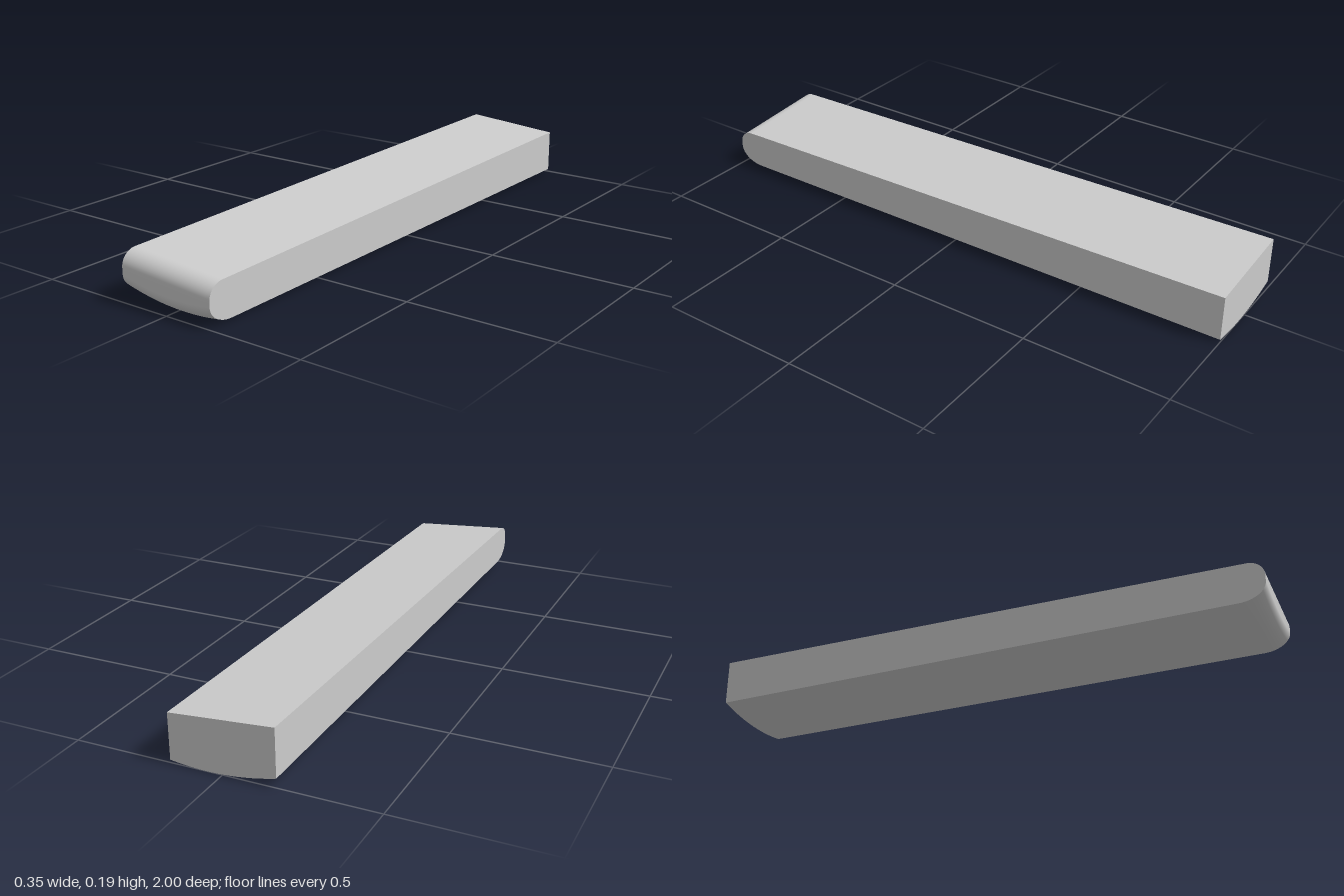
import * as THREE from 'three';

const HALF = 0.174, ARC = 12;
const material = new THREE.MeshStandardMaterial({ color: 0xcccccc });

// Sloping flat top and bowed underside
const topY = (x, z) => 0.1765 - 0.077 * x - 0.0137 * (z + 1);
const bottomY = (x) => 0.6 * (x - 0.05) ** 2;

// Lengthwise outline at a given x: back top, round the nose, back bottom
function profile(x) {
  const pts = [[-1, topY(x, -1)]];
  for (let i = 0; i <= ARC; i++) {
    const t = (i / ARC) * Math.PI / 2, z = 0.945 + 0.055 * Math.sin(t);
    pts.push([z, topY(x, z) - 0.05 * (1 - Math.cos(t))]);
  }
  for (let i = 0; i <= ARC; i++) {
    const t = (i / ARC) * Math.PI / 2;
    pts.push([0.91 + 0.09 * Math.cos(t), bottomY(x) + 0.06 * (1 - Math.sin(t))]);
  }
  pts.push([-1, bottomY(x)]);
  return pts;
}

// Smooth skin over rows of [z, y] points spread across x
function skin(rowAt, steps) {
  const pos = [], index = [];
  let n = 0;
  for (let i = 0; i <= steps; i++) {
    const x = -HALF + (2 * HALF * i) / steps, row = rowAt(x);
    n = row.length;
    row.forEach(([z, y]) => pos.push(x, y, z));
  }
  for (let i = 0; i < steps; i++) {
    for (let j = 0; j < n - 1; j++) {
      const a = i * n + j, c = a + n;
      index.push(a, a + 1, c, a + 1, c + 1, c);
    }
  }
  const g = new THREE.BufferGeometry();
  g.setAttribute('position', new THREE.Float32BufferAttribute(pos, 3));
  g.setIndex(index);
  g.computeVertexNormals();
  return g;
}

export function createModel() {
  const group = new THREE.Group();
  group.name = 'plank';
  const add = (name, geometry) => {
    const mesh = new THREE.Mesh(geometry, material);
    mesh.name = name;
    group.add(mesh);
  };

  // Top, rounded nose and curved underside
  add('body', skin(profile, 24));

  // Flat back end
  add('backEnd', skin((x) => [[-1, bottomY(x)], [-1, topY(x, -1)]], 24));

  // Flat side faces
  for (const s of [-1, 1]) {
    const outline = profile(s * HALF).map(([z, y]) => new THREE.Vector2(-s * z, y));
    const side = new THREE.ShapeGeometry(new THREE.Shape(outline));
    side.rotateY(s * Math.PI / 2).translate(s * HALF, 0, 0);
    add(s > 0 ? 'leftSide' : 'rightSide', side);
  }
  return group;
}
